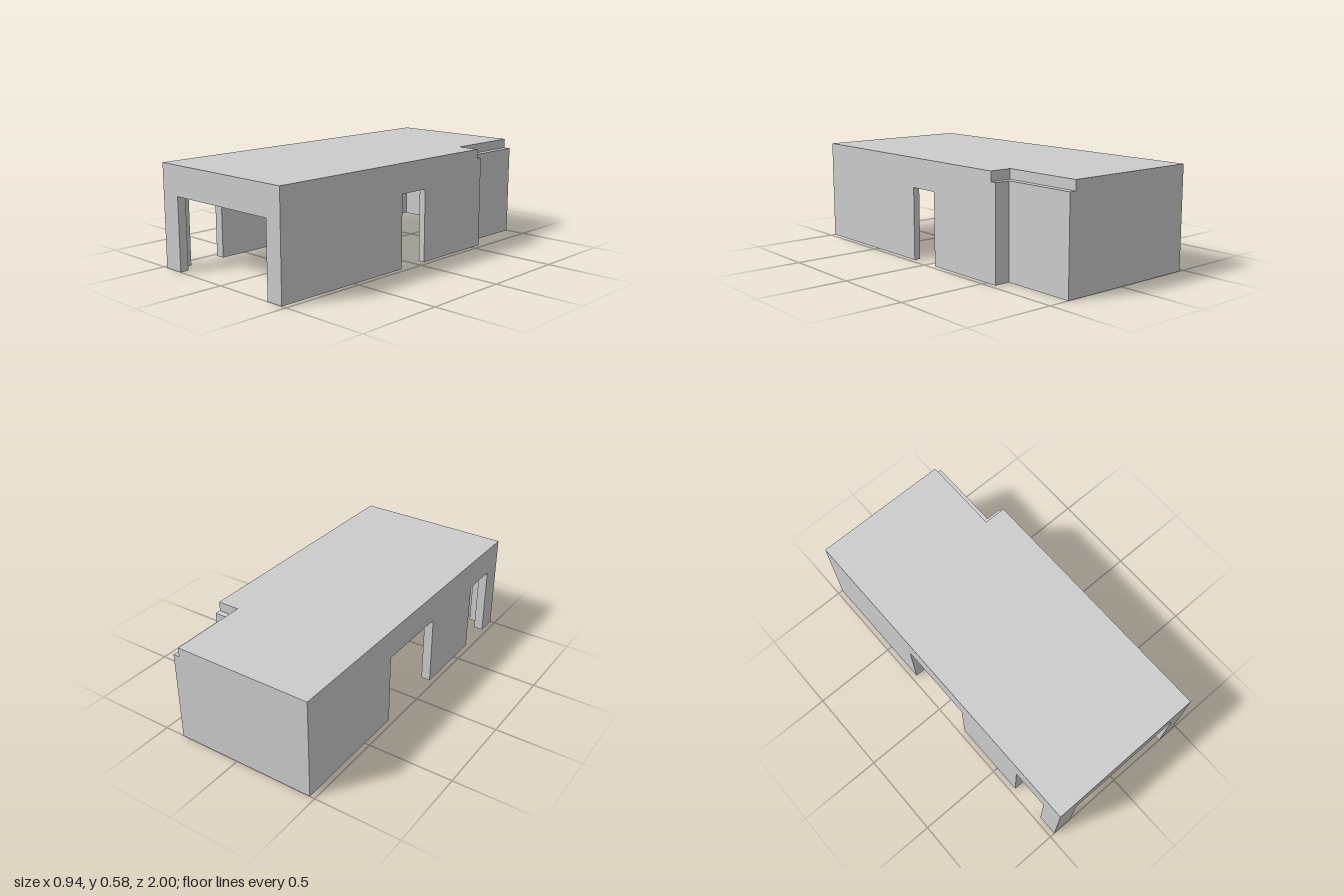
import * as THREE from 'three';

const W = 0.47, L = 1;            // half width, half length
const WALL_TOP = 0.53, ROOF_TOP = 0.585, DOOR = 0.416;

function extrude(points, depth) {
  const shape = new THREE.Shape(points.map(([x, y]) => new THREE.Vector2(x, y)));
  return new THREE.ExtrudeGeometry(shape, { depth, bevelEnabled: false });
}

export function createModel() {
  const group = new THREE.Group();
  const material = new THREE.MeshStandardMaterial({ color: 0xcccccc, flatShading: true });

  function add(name, geometry) {
    const mesh = new THREE.Mesh(geometry, material);
    mesh.name = name;
    group.add(mesh);
    return mesh;
  }

  // Wall outline from a to b, with doorways cut up from the floor
  function wall(name, a, b, thickness, doors = []) {
    const points = [[a, 0]];
    for (const [d0, d1] of doors) points.push([d0, 0], [d0, DOOR], [d1, DOOR], [d1, 0]);
    points.push([b, 0], [b, WALL_TOP], [a, WALL_TOP]);
    return add(name, extrude(points, thickness));
  }

  // Walls running along x; z is the rear face
  function crossWall(name, x0, x1, z, thickness, doors) {
    wall(name, x0, x1, thickness, doors).position.z = z;
  }

  // Walls running along z; x is the face on the +x side
  function sideWall(name, z0, z1, x, thickness, doors) {
    const mesh = wall(name, z0, z1, thickness, doors);
    mesh.rotation.y = -Math.PI / 2;
    mesh.position.x = x;
  }

  crossWall('frontWall', -W, W, L - 0.05, 0.05, [[-0.345, 0.368]]);
  crossWall('backWall', -W, 0.378, -L, 0.06);
  sideWall('rightWall', -L + 0.06, L - 0.05, -W + 0.055, 0.055, [[-0.255, 0.2], [0.66, 0.88]]);
  sideWall('leftWall', -0.57, L - 0.05, W, 0.038, [[-0.06, 0.13]]);

  // Stepped-in rear corner
  crossWall('recessReturnWall', 0.34, W - 0.038, -0.57, 0.036);
  sideWall('recessSideWall', -L + 0.06, -0.57, 0.378, 0.038);

  // Flat roof, set back over the recess walls
  const roof = add('roof', extrude([
    [-W, -L], [0.34, -L], [0.34, -0.535], [W, -0.535], [W, L], [-W, L],
  ], ROOF_TOP - WALL_TOP));
  roof.rotation.x = Math.PI / 2;
  roof.position.y = ROOF_TOP;

  return group;
}
